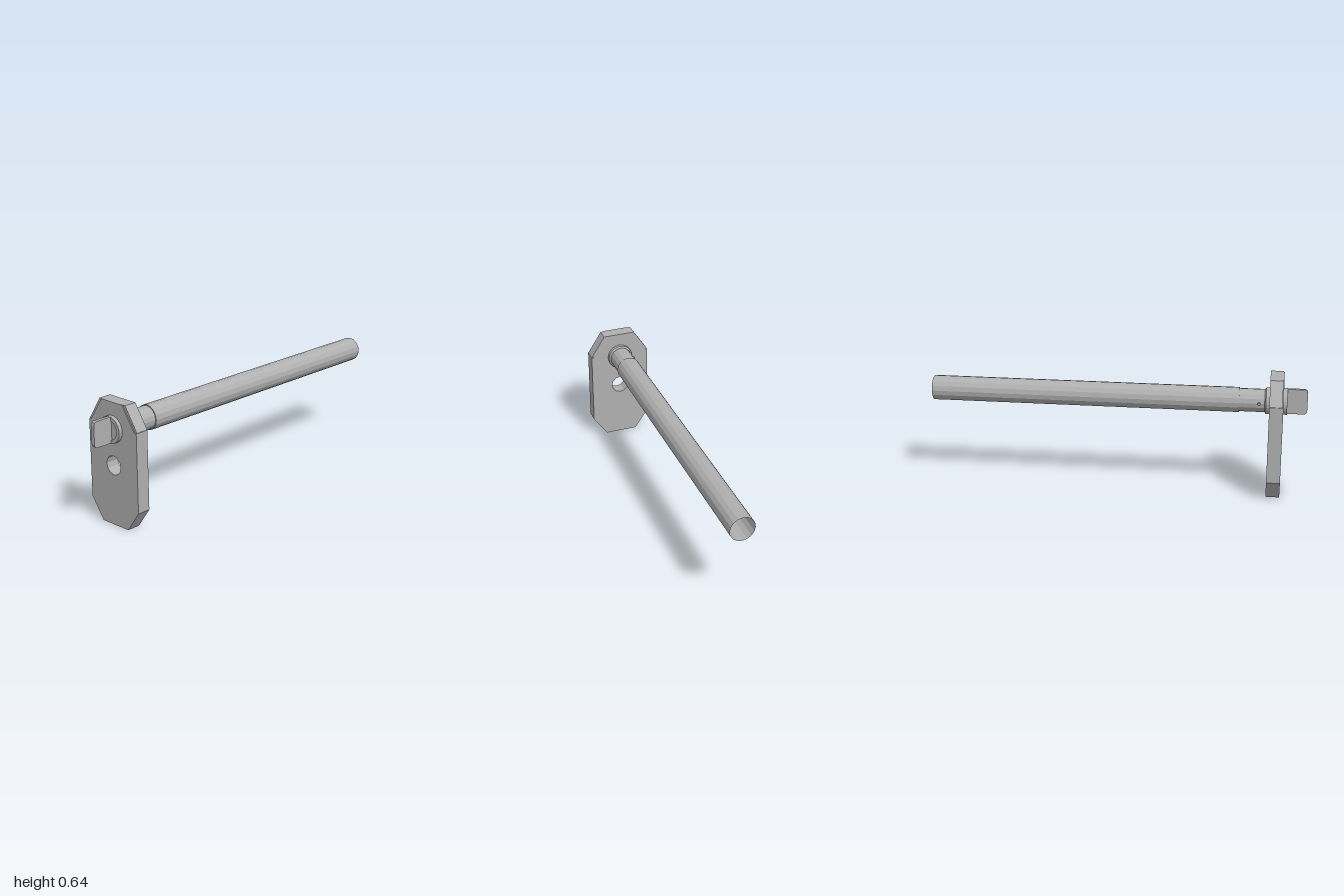
import * as THREE from 'three';

const steel = new THREE.MeshStandardMaterial({ color: 0xb0b0b0, flatShading: true, side: THREE.DoubleSide });
steel.name = 'grey steel';

const AXIS_Y = 0.507;

function outline(points) {
  return new THREE.Shape(points.map(([x, y]) => new THREE.Vector2(x, y)));
}

function addMesh(parent, name, geometry) {
  const mesh = new THREE.Mesh(geometry, steel);
  mesh.name = name;
  parent.add(mesh);
  return mesh;
}

function slab(shape, z0, z1) {
  return new THREE.ExtrudeGeometry(shape, { depth: z1 - z0, bevelEnabled: false, curveSegments: 12 })
    .translate(0, 0, z0);
}

// Turned part along z; profile is [radius, z]
function turned(profile, sides = 16) {
  return new THREE.LatheGeometry(profile.map(([r, z]) => new THREE.Vector2(r, z)), sides)
    .rotateX(Math.PI / 2).translate(0, AXIS_Y, 0);
}

export function createModel() {
  const group = new THREE.Group();
  group.name = 'lockTubeAssembly';

  // Eight-sided plate with small shoulders below the upper slopes
  const half = [[0.09, 0], [0.168, 0.11], [0.168, 0.523], [0.155, 0.523], [0.073, 0.645]];
  const plate = outline([...half, ...half.map(([x, y]) => [-x, y]).reverse()]);
  const hole = Array.from({ length: 12 }, (_, i) => {
    const a = -i * Math.PI / 6;
    return new THREE.Vector2(0.05 * Math.cos(a), 0.318 + 0.05 * Math.sin(a));
  });
  plate.holes.push(new THREE.Path([...hole, hole[0].clone()]));
  addMesh(group, 'plate', slab(plate, 0.803, 0.875));

  // Edge strips lying on the upper slopes
  for (const s of [-1, 1]) {
    const pts = [[0.073, 0.645], [0.155, 0.523], [0.168, 0.525], [0.09, 0.645]].map(([x, y]) => [s * x, y]);
    addMesh(group, s > 0 ? 'leftEdgeStrip' : 'rightEdgeStrip', slab(outline(pts), 0.803, 0.87));
  }

  // Long open tube stepping down to a narrower neck
  addMesh(group, 'tube', turned([[0.066, -1], [0.066, 0.645], [0.061, 0.645], [0.061, 0.79]]));

  // Collar behind the plate
  addMesh(group, 'collar', turned([[0.061, 0.778], [0.07, 0.785], [0.07, 0.805]], 24));

  // Lock face in front of the plate, with a shallow inner disc
  addMesh(group, 'lockRing', turned([[0.07, 0.87], [0.07, 0.895], [0.05, 0.895], [0.05, 0.89], [0, 0.89]], 24));

  // Flat key handle with clipped front corners, drawn as (z, y)
  const key = outline([[0.885, 0.442], [0.985, 0.442], [0.995, 0.447], [1, 0.46],
    [1, 0.555], [0.995, 0.57], [0.985, 0.576], [0.885, 0.576]]);
  addMesh(group, 'keyHandle', slab(key, -0.01, 0.01).rotateY(-Math.PI / 2));

  // Small stud on the side of the neck
  const stud = addMesh(group, 'stud', new THREE.CylinderGeometry(0.008, 0.008, 0.02, 8));
  stud.rotation.z = Math.PI / 2;
  stud.position.set(-0.064, AXIS_Y, 0.748);

  return group;
}
